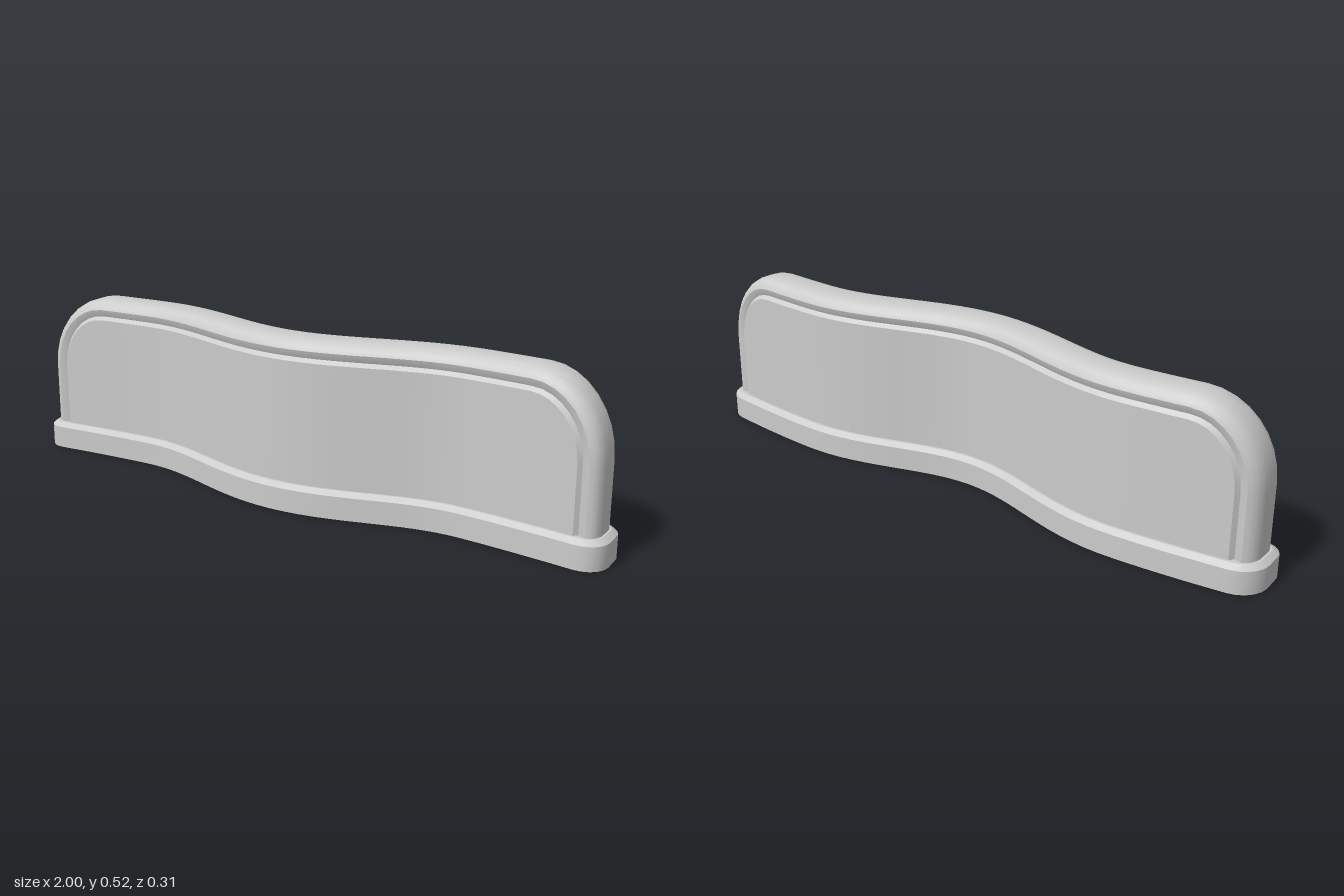
import * as THREE from 'three';
import { toCreasedNormals } from 'three/addons/utils/BufferGeometryUtils.js';

// Wavy centreline seen from above, and its slope
const wave = (x) => {
  const a = Math.abs(x);
  return a < 0.55
    ? 0.055 * Math.cos((Math.PI * a) / 0.55)
    : -0.055 + 0.04 * Math.pow((a - 0.55) / 0.45, 1.5);
};
const slope = (x) => (wave(x + 0.005) - wave(x - 0.005)) / 0.01;

// Place a point at distance x along the wave, height y, offset t to the front
function bend(x, y, t) {
  const m = slope(x), k = t / Math.hypot(1, m);
  // the sideways lean fades out towards the ends
  const lean = 1 - THREE.MathUtils.smoothstep(Math.abs(x), 0.7, 0.95);
  return new THREE.Vector3(x - m * k * lean, y, wave(x) + k);
}

// Skin a grid of points: rows run along the path, columns across the section
function skin(rows, closed) {
  const pos = [];
  const tri = (a, b, c) => {
    const area = b.clone().sub(a).cross(c.clone().sub(a)).length();
    if (area > 1e-9) for (const p of [a, b, c]) pos.push(p.x, p.y, p.z);
  };
  const n = closed ? rows.length : rows.length - 1;
  for (let i = 0; i < n; i++) {
    const r = rows[i], s = rows[(i + 1) % rows.length];
    for (let j = 0; j < r.length - 1; j++) {
      tri(r[j], s[j], s[j + 1]);
      tri(r[j], s[j + 1], r[j + 1]);
    }
  }
  const geo = new THREE.BufferGeometry();
  geo.setAttribute('position', new THREE.Float32BufferAttribute(pos, 3));
  return toCreasedNormals(geo, 0.6);
}

// Arch outline, inset by d: up the right-hand side, over the top, down the left
function archPath(d, y0) {
  const w = 0.975 - d, top = 0.522 - d, rx = 0.21 - d, ry = 0.24 - d;
  const left = [[-w, y0]], N = 8;
  for (let i = 0; i <= N; i++) {
    const a = (i / N) * Math.PI / 2;
    left.push([-(w - rx) - rx * Math.cos(a), top - ry + ry * Math.sin(a)]);
  }
  const mid = [], M = 40;
  for (let i = 1; i < M; i++) mid.push([(w - rx) * (2 * i / M - 1), top]);
  return [...left, ...mid, ...left.map(([x, y]) => [-x, y]).reverse()];
}

// Plinth outline, inset by off: front edge, end, back edge, end
function plinthPath(off) {
  const L = 1 - off, T = 0.098 - off, r = Math.max(0, 0.075 - off);
  const half = [], N = 5, M = 44;
  for (let i = 0; i < M; i++) half.push([(L - r) * (2 * i / M - 1), T]);
  for (let i = 0; i <= N; i++) {
    const a = (i / N) * Math.PI / 2;
    half.push([L - r + r * Math.sin(a), T - r + r * Math.cos(a)]);
  }
  // the back half is the front half turned round
  const ends = half.map(([x, t]) => [-x, -t]);
  const corner = (h) => h.slice(M).map(([x, t]) => [x, -t]).reverse().slice(1);
  return [...half, ...corner(half), ...ends, ...corner(ends)];
}

export function createModel() {
  const group = new THREE.Group();
  const material = new THREE.MeshStandardMaterial({ color: 0xcccccc });
  const add = (name, geo) => {
    const mesh = new THREE.Mesh(geo, material);
    mesh.name = name;
    group.add(mesh);
  };
  const y0 = 0.065;

  // Rounded rim over the arch: [inset, half thickness], front half then mirrored
  const front = [[0.065, 0.073], [0.054, 0.061], [0.043, 0.066], [0.032, 0.069],
    [0.021, 0.064], [0.011, 0.055], [0.004, 0.042], [0, 0.025], [0, 0]];
  const section = [...front, ...front.slice(0, -1).reverse().map(([d, t]) => [d, -t])];
  const paths = section.map(([d]) => archPath(d, y0));
  const count = paths[0].length;
  const rim = [];
  for (let i = 0; i < count; i++) {
    rim.push(section.map(([, t], j) => bend(paths[j][i][0], paths[j][i][1], t)));
  }
  add('rim', skin(rim));

  // Front and back panels hang from the inner edge of the rim
  const edge = archPath(0.065, y0);
  add('frontPanel', skin(edge.map(([x, y]) => [bend(x, y0, 0.073), bend(x, y, 0.073)])));
  add('backPanel', skin(edge.map(([x, y]) => [bend(x, y, -0.073), bend(x, y0, -0.073)])));

  // Hollow plinth: underside, inner wall, lip, outer wall, bevel and top ledge
  const profile = [[0.098, 0.06], [0.018, 0.06], [0.018, 0], [0, 0],
    [0, 0.071], [0.018, 0.084], [0.05, 0.084]];
  const rings = profile.map(([off]) => plinthPath(off));
  const base = rings[0].map((_, i) =>
    profile.map(([, y], j) => bend(rings[j][i][0], y, rings[j][i][1])));
  add('plinth', skin(base, true));

  return group;
}
